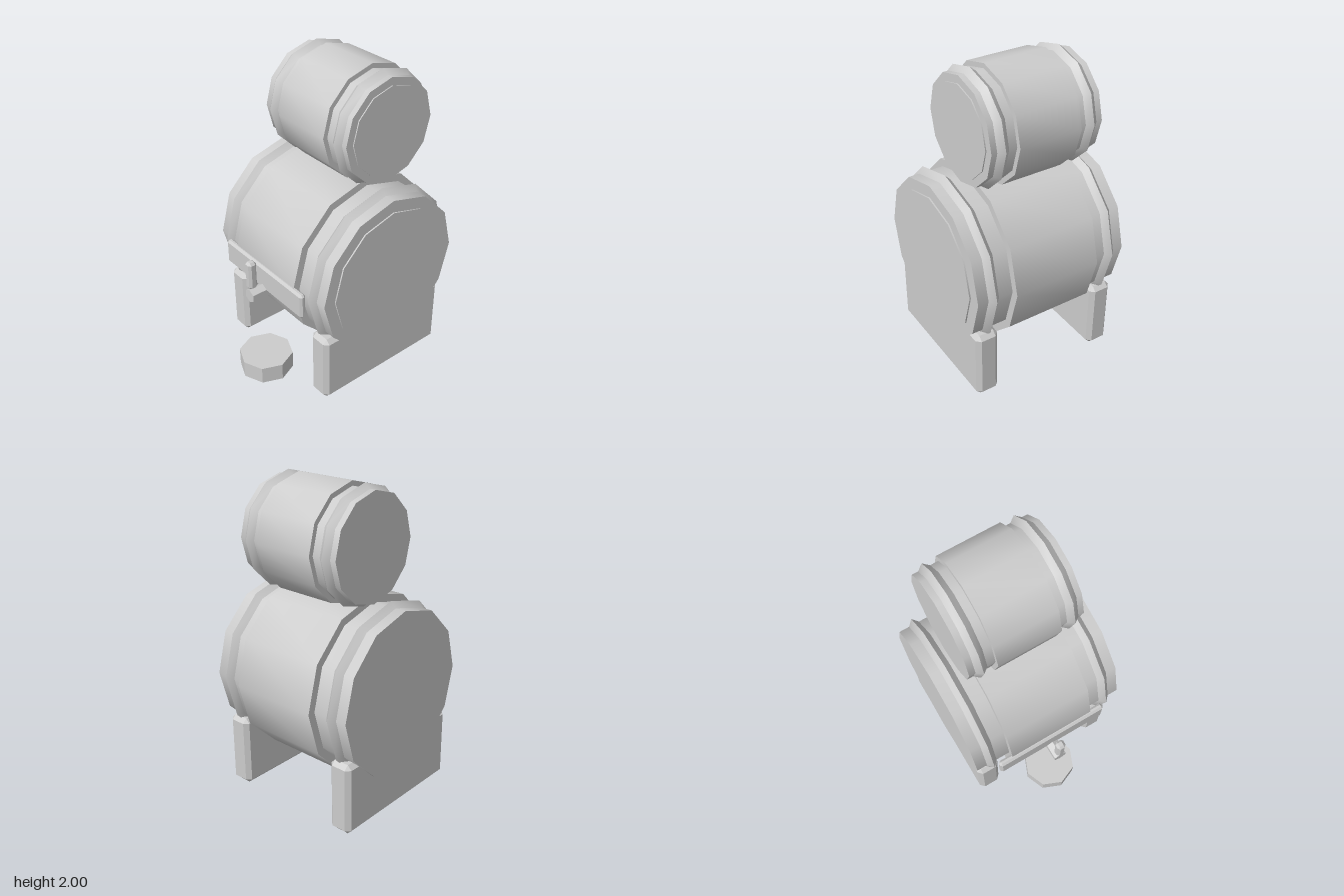
import * as THREE from 'three';
import { toCreasedNormals } from 'three/addons/utils/BufferGeometryUtils.js';
import { ConvexGeometry } from 'three/addons/geometries/ConvexGeometry.js';

const grey = new THREE.MeshStandardMaterial({ color: 0xcccccc });
grey.name = 'grey';

function part(name, geometry, x, y, z) {
  const mesh = new THREE.Mesh(toCreasedNormals(geometry, 0.6), grey);
  mesh.name = name;
  mesh.position.set(x, y, z);
  return mesh;
}

// Box with a single flat chamfer on every edge
function chamferBox(w, h, d, c) {
  const points = [];
  for (const sx of [-1, 1]) for (const sy of [-1, 1]) for (const sz of [-1, 1]) {
    const [x, y, z] = [sx * w / 2, sy * h / 2, sz * d / 2];
    points.push(
      new THREE.Vector3(x, y - sy * c, z - sz * c),
      new THREE.Vector3(x - sx * c, y, z - sz * c),
      new THREE.Vector3(x - sx * c, y - sy * c, z)
    );
  }
  return new ConvexGeometry(points);
}

// Twelve-sided cylinder lying along x, from x0 to x1
function drum(name, r, x0, x1) {
  const g = new THREE.CylinderGeometry(r, r, x1 - x0, 12).rotateZ(-Math.PI / 2);
  return part(name, g, (x0 + x1) / 2, 0, 0);
}

// Ridged hoop around the x axis
function hoop(x, base, peak, half) {
  const profile = [[base - 0.01, -half], [base, -half], [peak, 0], [base, half], [base - 0.01, half]]
    .map(([r, y]) => new THREE.Vector2(r, y));
  const g = new THREE.LatheGeometry(profile, 12).rotateZ(-Math.PI / 2);
  return part('hoop', g, x, 0, 0);
}

function barrel(name, y, z, b) {
  const group = new THREE.Group();
  group.name = name;
  group.position.set(0, y, z);
  group.add(drum('staves', b.bodyR, ...b.body));
  group.add(drum('barrelEnds', b.endR, ...b.ends));
  group.add(drum('lid', b.lidR, b.ends[1] - 0.02, b.lidX));
  for (const x of b.hoops) group.add(hoop(x, b.endR, b.hoopR, b.hoopHalf));
  return group;
}

export function createModel() {
  const model = new THREE.Group();
  model.name = 'barrelStand';

  // Barrels
  model.add(barrel('largeBarrel', 0.767, -0.095, {
    bodyR: 0.567, body: [-0.295, 0.282], endR: 0.518, ends: [-0.526, 0.513],
    lidR: 0.44, lidX: 0.522, hoops: [-0.422, 0.409], hoopR: 0.555, hoopHalf: 0.035,
  }));
  model.add(barrel('smallBarrel', 1.642, -0.187, {
    bodyR: 0.358, body: [-0.208, 0.198], endR: 0.328, ends: [-0.372, 0.359],
    lidR: 0.279, lidX: 0.366, hoops: [-0.296, 0.286], hoopR: 0.358, hoopHalf: 0.037,
  }));

  // Cradle boards
  for (const x of [-0.432, 0.416]) {
    model.add(part('cradleBoard', chamferBox(0.152, 0.465, 0.96, 0.028), x, 0.2325, -0.088));
  }

  // Front board and tap
  model.add(part('frontBoard', chamferBox(0.764, 0.168, 0.042, 0.014), -0.008, 0.709, 0.464));
  const spout = new THREE.CylinderGeometry(0.046, 0.046, 0.17, 6).rotateX(Math.PI / 2);
  model.add(part('tapSpout', spout, -0.008, 0.619, 0.499));
  model.add(part('tapHandle', chamferBox(0.057, 0.192, 0.057, 0.015), -0.008, 0.774, 0.564));

  // Loose block on the ground below the tap
  const block = new THREE.CylinderGeometry(0.174, 0.174, 0.117, 8);
  model.add(part('dripBlock', block, -0.008, 0.0585, 0.483));

  return model;
}
